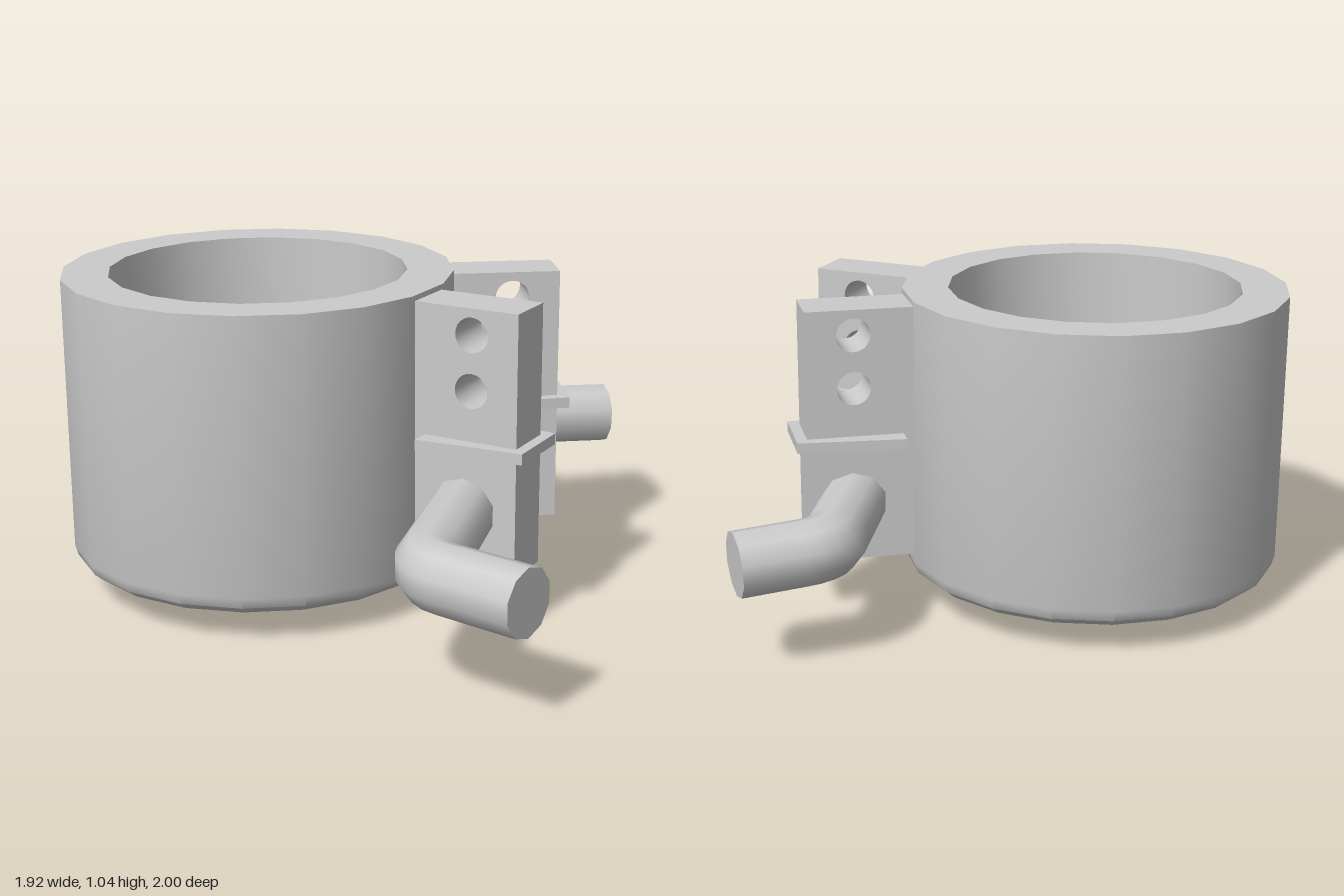
import * as THREE from 'three';
import { toCreasedNormals } from 'three/addons/utils/BufferGeometryUtils.js';

const CX = -0.34, CZ = -0.372, RADIUS = 0.63;
const mat = new THREE.MeshStandardMaterial({ color: 0xcccccc });
const thin = new THREE.MeshStandardMaterial({ color: 0xcccccc, side: THREE.DoubleSide });

function add(parent, name, geometry, material = mat) {
  const mesh = new THREE.Mesh(geometry, material);
  mesh.name = name;
  parent.add(mesh);
  return mesh;
}

const v2 = (p) => new THREE.Vector2(p[0], p[1]);

// Hollow drum with a shallow domed underside
function housing() {
  const profile = [
    [0, 0.005], [0.22, 0.015], [0.45, 0.05], [0.59, 0.1], [0.62, 0.125], [RADIUS, 0.16],
    [RADIUS, 1.045], [0.48, 1.045], [0.48, 0.35], [0, 0.35],
  ].map(v2);
  return toCreasedNormals(new THREE.LatheGeometry(profile, 20), 0.6);
}

// Pitched blade that widens and drops away from the hub
function blade() {
  const g = new THREE.PlaneGeometry(1, 1, 4, 1);
  const p = g.attributes.position;
  for (let i = 0; i < p.count; i++) {
    const t = p.getX(i) + 0.5, side = p.getY(i) * 2;
    const pitch = 0.9 - 0.3 * t, half = 0.025 + 0.065 * t;
    p.setXYZ(i, 0.04 + 0.425 * t,
      0.82 - 0.12 * t + side * half * Math.sin(pitch),
      side * half * Math.cos(pitch));
  }
  g.computeVertexNormals();
  return g;
}

function fan() {
  const group = new THREE.Group();
  group.name = 'fan';
  const hub = [[0, 0.35], [0.06, 0.35], [0.06, 0.82], [0.045, 0.85], [0, 0.865]].map(v2);
  add(group, 'hub', toCreasedNormals(new THREE.LatheGeometry(hub, 12), 0.6));
  const shape = blade();
  for (let i = 0; i < 14; i++) {
    add(group, 'blade', shape, thin).rotation.y = (i + 0.5) * Math.PI / 7;
  }
  return group;
}

// Upright radial bracket with two cross holes and a tapered collar
function bracket(degrees) {
  const group = new THREE.Group();
  group.name = 'bracket';
  group.position.set(CX, 0, CZ);
  group.rotation.y = (degrees - 90) * Math.PI / 180;

  const plate = new THREE.Shape([[0.61, 0.19], [0.97, 0.19], [0.97, 1.028], [0.61, 1.028]].map(v2));
  for (const y of [0.945, 0.77]) {
    const hole = new THREE.Path();
    hole.absarc(0.815, y, 0.055, 0, Math.PI * 2, true);
    plate.holes.push(hole);
  }
  const body = new THREE.ExtrudeGeometry(plate, { depth: 0.17, bevelEnabled: false, curveSegments: 12 });
  body.translate(0, 0, -0.085);
  add(group, 'bracketPlate', toCreasedNormals(body, 0.7));

  const outline = new THREE.Shape([[0.655, -0.147], [1.005, -0.118], [1.005, 0.118], [0.655, 0.147]].map(v2));
  const collar = new THREE.ExtrudeGeometry(outline, { depth: 0.035, bevelEnabled: false });
  collar.rotateX(-Math.PI / 2).translate(0, 0.575, 0);
  add(group, 'collar', collar);
  return group;
}

// Bent pipe running through both brackets
function pipe() {
  const group = new THREE.Group();
  group.name = 'pipe';
  const P = (x, y, z) => new THREE.Vector3(x, y, z);
  const path = new THREE.CurvePath();
  const a = P(-0.775, 0.385, 1), b = P(-0.775, 0.385, 0.72), c = P(-0.67, 0.385, 0.59);
  const d = P(0.57, 0.38, 0.03), e = P(0.71, 0.375, 0.035), f = P(0.89, 0.365, 0.17);
  path.add(new THREE.LineCurve3(a, b));
  path.add(new THREE.QuadraticBezierCurve3(b, P(-0.775, 0.385, 0.635), c));
  path.add(new THREE.LineCurve3(c, d));
  path.add(new THREE.QuadraticBezierCurve3(d, P(0.645, 0.38, -0.013), e));
  path.add(new THREE.LineCurve3(e, f));

  const sides = 10, steps = 64;
  const tube = new THREE.TubeGeometry(path, steps, 0.105, sides, false);
  add(group, 'pipeTube', tube);

  // Flat ends made from the first and last rings
  for (const [ring, centre] of [[0, a], [steps, f]]) {
    const points = [];
    for (let i = 0; i < sides; i++) {
      const at = (k) => new THREE.Vector3().fromBufferAttribute(tube.attributes.position, ring * (sides + 1) + k);
      points.push(centre, at(i), at(i + 1));
    }
    const cap = new THREE.BufferGeometry().setFromPoints(points);
    cap.computeVertexNormals();
    add(group, 'pipeEnd', cap, thin);
  }
  return group;
}

export function createModel() {
  const model = new THREE.Group();
  model.name = 'turbineUnit';

  const drum = new THREE.Group();
  drum.name = 'drum';
  drum.position.set(CX, 0, CZ);
  add(drum, 'housing', housing());
  drum.add(fan());

  model.add(drum, pipe(), bracket(9.2), bracket(45));
  return model;
}
